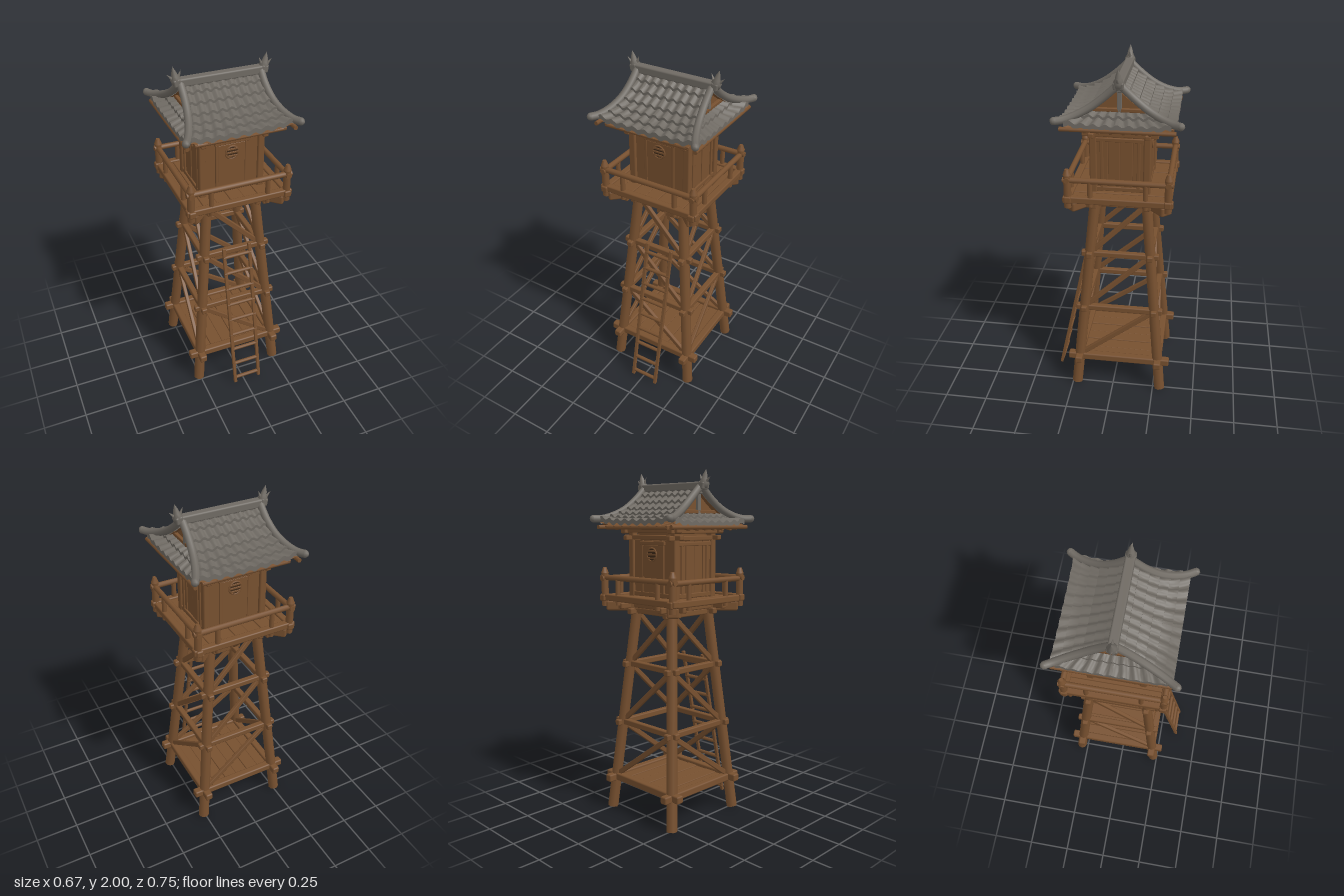
import * as THREE from 'three';
import { mergeGeometries, toCreasedNormals } from 'three/addons/utils/BufferGeometryUtils.js';
import { RoundedBoxGeometry } from 'three/addons/geometries/RoundedBoxGeometry.js';
import { ParametricGeometry } from 'three/addons/geometries/ParametricGeometry.js';

const V = (x, y, z) => new THREE.Vector3(x, y, z);
const material = (name, color) => Object.assign(new THREE.MeshStandardMaterial({ color }), { name });

export function createModel() {
  const wood = material('wood', 0x77502f);
  const darkWood = material('dark wood', 0x3d2918);
  const tile = material('roof tile', 0x6f6a63);
  tile.side = wood.side = THREE.DoubleSide;

  const root = new THREE.Group();
  root.name = 'watchtower';
  const tower = new THREE.Group();
  tower.name = 'tower';
  tower.position.z = -0.034;
  root.add(tower);

  const group = (name, parent = tower) => {
    const g = new THREE.Group();
    g.name = name;
    parent.add(g);
    return g;
  };
  const add = (parent, name, geometry, mat = wood) => {
    const m = new THREE.Mesh(geometry, mat);
    m.name = name;
    parent.add(m);
    return m;
  };
  const box = (parent, name, w, h, d, x, y, z, mat = wood) => {
    const m = add(parent, name, new RoundedBoxGeometry(w, h, d, 1, Math.min(w, h, d) * 0.2), mat);
    m.position.set(x, y, z);
    return m;
  };
  // round log or squared beam from a to b
  const log = (parent, name, a, b, r0, r1 = r0) => {
    const m = add(parent, name, new THREE.CylinderGeometry(r1, r0, a.distanceTo(b), 9));
    m.position.copy(a).lerp(b, 0.5);
    m.quaternion.setFromUnitVectors(V(0, 1, 0), b.clone().sub(a).normalize());
  };
  const beam = (parent, name, a, b, w, h) => {
    const m = box(parent, name, w, h, a.distanceTo(b), 0, 0, 0);
    m.position.copy(a).lerp(b, 0.5);
    m.quaternion.setFromRotationMatrix(new THREE.Matrix4().lookAt(b, a, V(0, 1, 0)));
  };
  // four beams that cross at the corners of a rectangle
  const crossFrame = (parent, name, x, z, y, over, w, h) => {
    for (const s of [-1, 1]) {
      beam(parent, name, V(-x - over, y, s * z), V(x + over, y, s * z), w, h);
      beam(parent, name, V(s * x, y - 0.004, -z - over), V(s * x, y - 0.004, z + over), w, h);
    }
  };

  // Splayed legs, ties and braces
  const frame = group('frame');
  const legAt = y => 0.258 - 0.092 * y;
  for (const sx of [-1, 1]) for (const sz of [-1, 1]) {
    const [a, b] = [legAt(0), legAt(1.27)];
    log(frame, 'leg', V(sx * a, 0.005, sz * a), V(sx * b, 1.27, sz * b), 0.032, 0.03);
  }
  const levels = [0.2, 0.545, 0.9, 1.215];
  levels.forEach((y, i) => {
    const size = i === 0 ? 0.045 : 0.035;
    crossFrame(frame, 'tie beam', legAt(y), legAt(y), y, [0.07, 0.05, 0.05, 0.06][i], size, size);
  });
  for (let i = 0; i < 3; i++) {
    const y0 = levels[i] + 0.02, y1 = levels[i + 1] - 0.02;
    const a = legAt(y0), b = legAt(y1);
    for (const s of [-1, 1]) {
      beam(frame, 'brace', V(a - 0.02, y0, s * a), V(-b + 0.02, y1, s * b), 0.022, 0.03);
      beam(frame, 'brace', V(s * a, y0, a - 0.02), V(s * b, y1, -b + 0.02), 0.022, 0.03);
    }
  }
  for (let i = 0; i < 6; i++)
    box(frame, 'lower floor plank', 0.077, 0.018, 0.47, -0.195 + i * 0.078, 0.192 + (i % 2) * 0.003, 0);

  // Platform
  const platform = group('platform');
  for (let i = 0; i < 7; i++)
    box(platform, 'floor plank', 0.08, 0.022, 0.56, -0.24 + i * 0.08, 1.284 + (i % 2) * 0.003, 0);
  crossFrame(platform, 'rim beam', 0.278, 0.27, 1.291, 0.03, 0.04, 0.038);
  crossFrame(platform, 'joist', 0.165, 0.16, 1.25, 0.1, 0.035, 0.035);
  for (const sx of [-1, 1]) for (const sz of [-1, 1])
    beam(platform, 'corner bracket', V(sx * 0.12, 1.243, sz * 0.12), V(sx * 0.275, 1.243, sz * 0.265), 0.065, 0.058);

  // Railing
  const railing = group('railing');
  for (const s of [-1, 1]) {
    log(railing, 'rail', V(-0.305, 1.405, s * 0.272), V(0.305, 1.405, s * 0.272), 0.016);
    log(railing, 'rail', V(s * 0.28, 1.4, -0.297), V(s * 0.28, 1.4, 0.297), 0.016);
    for (const t of [-1, 1]) {
      log(railing, 'corner post', V(s * 0.28, 1.24, t * 0.272), V(s * 0.28, 1.435, t * 0.272), 0.021);
      log(railing, 'post cap', V(s * 0.28, 1.43, t * 0.272), V(s * 0.28, 1.462, t * 0.272), 0.023, 0.011);
      log(railing, 'rail post', V(s * 0.165, 1.25, t * 0.272), V(s * 0.165, 1.4, t * 0.272), 0.014);
      log(railing, 'rail post', V(s * 0.28, 1.25, t * 0.15), V(s * 0.28, 1.4, t * 0.15), 0.014);
    }
  }

  // Cabin with plank walls, doors and round slatted windows
  const cabin = group('cabin');
  box(cabin, 'wall core', 0.335, 0.44, 0.285, 0, 1.51, 0);
  for (const s of [-1, 1]) {
    for (let i = 0; i < 4; i++) {
      const k = i - 1.5;
      box(cabin, 'wall plank', 0.076, 0.32, 0.012, k * 0.08, 1.46, s * (0.144 + (i % 2) * 0.003));
      box(cabin, 'wall plank', 0.012, 0.32, 0.064, s * (0.169 + (i % 2) * 0.003), 1.46, k * 0.067);
    }
    for (const t of [-1, 1]) {
      box(cabin, 'corner post', 0.04, 0.42, 0.04, s * 0.17, 1.5, t * 0.146);
      box(cabin, 'door jamb', 0.018, 0.29, 0.02, t * 0.085, 1.45, s * 0.15);
      box(cabin, 'side stud', 0.02, 0.3, 0.018, s * 0.175, 1.45, t * 0.1);
    }
    box(cabin, 'door panel', 0.155, 0.28, 0.012, 0, 1.45, s * 0.151);
    box(cabin, 'lintel', 0.2, 0.022, 0.022, 0, 1.603, s * 0.151);
    box(cabin, 'sill', 0.34, 0.025, 0.02, 0, 1.315, s * 0.15);
    box(cabin, 'side sill', 0.02, 0.025, 0.29, s * 0.175, 1.315, 0);
    box(cabin, 'side lintel', 0.02, 0.022, 0.29, s * 0.175, 1.6, 0);
    const pane = add(cabin, 'window opening', new THREE.CylinderGeometry(0.038, 0.038, 0.004, 20), darkWood);
    pane.rotation.x = Math.PI / 2;
    pane.position.set(0, 1.54, s * 0.158);
    add(cabin, 'window ring', new THREE.TorusGeometry(0.037, 0.005, 6, 20)).position.set(0, 1.54, s * 0.159);
    for (const k of [-1, 0, 1])
      box(cabin, 'window slat', k ? 0.06 : 0.072, 0.01, 0.007, 0, 1.54 + k * 0.02, s * 0.161);
  }
  crossFrame(cabin, 'wall plate', 0.175, 0.15, 1.635, 0.055, 0.03, 0.026);
  crossFrame(cabin, 'eave beam', 0.19, 0.168, 1.676, 0.04, 0.04, 0.032);

  // Roof: curved main slopes with side skirts
  const roof = group('roof');
  const drop = [1.9, 1.838, 1.782, 1.742, 1.718];   // height at equal steps out from the ridge
  const profile = t => {
    const i = Math.min(3, Math.floor(t * 4)), f = t * 4 - i;
    return drop[i] + (drop[i + 1] - drop[i]) * f;
  };
  const halfWidth = t => 0.22 + 0.075 * t ** 2.5;
  const slope = s => (u, t) => V(u * halfWidth(t), profile(t) + 0.022 * u ** 4 * t * t, s * 0.3 * t);
  const skirt = s => (u, t) => V(s * (0.19 + 0.115 * t), 1.768 - 0.06 * t + 0.02 * u ** 4 * t, u * (0.19 + 0.085 * t));
  // overlapping rows of wavy tiles; the last strip of each row folds down as its lip
  const tiles = (surface, rows, waves) => {
    const parts = [];
    for (let r = 0; r < rows; r++)
      parts.push(new ParametricGeometry((a, b, out) => {
        const k = Math.min(1, b * 1.5), u = a * 2 - 1;
        out.copy(surface(u, (r + k) / rows));
        out.y += 0.007 * Math.cos(u * Math.PI * waves) + (b > 0.9 ? -0.012 : 0.014 * k);
      }, waves * 8, 3));
    return toCreasedNormals(mergeGeometries(parts), 0.9);
  };
  const lining = surface => new ParametricGeometry((a, b, out) => {
    out.copy(surface(a * 2 - 1, b * 0.98));
    out.y -= 0.022;
  }, 8, 8);
  for (const s of [-1, 1]) {
    add(roof, 'main tiles', tiles(slope(s), 6, 9), tile);
    add(roof, 'main lining', lining(slope(s)));
    add(roof, 'skirt tiles', tiles(skirt(s), 2, 9), tile);
    add(roof, 'skirt lining', lining(skirt(s)));
    log(roof, 'side eave pole', V(s * 0.298, 1.692, -0.3), V(s * 0.298, 1.692, 0.3), 0.012);
    log(roof, 'front eave pole', V(-0.25, 1.69, s * 0.275), V(0.25, 1.69, s * 0.275), 0.012);
    for (let i = 0; i < 8; i++) {
      const x = -0.245 + i * 0.07;
      beam(roof, 'rafter', V(x, 1.715, s * 0.15), V(x, 1.69, s * 0.285), 0.018, 0.02);
      if (i > 0 && i < 7) beam(roof, 'side rafter', V(s * 0.17, 1.712, x * 0.95), V(s * 0.3, 1.682, x * 0.95), 0.018, 0.02);
    }

    // Gable wall, its post and the sweeping edge ribs
    const gable = new THREE.Shape([[-0.22, 1.74], [0.22, 1.74], [0.15, 1.772], [0.075, 1.83], [0, 1.895],
      [-0.075, 1.83], [-0.15, 1.772]].map(p => new THREE.Vector2(...p)));
    const wall = add(roof, 'gable wall', new THREE.ExtrudeGeometry(gable, { depth: 0.012, bevelEnabled: false }));
    wall.rotation.y = Math.PI / 2;
    wall.position.x = s * 0.19 - 0.006;
    box(roof, 'gable post', 0.02, 0.12, 0.025, s * 0.205, 1.82, 0, tile);
    box(roof, 'gable beam', 0.02, 0.02, 0.28, s * 0.205, 1.775, 0);
    for (const t of [-1, 1]) {
      const path = new THREE.CatmullRomCurve3([[0.225, 1.912, 0.005], [0.226, 1.848, 0.075], [0.238, 1.792, 0.15],
        [0.262, 1.755, 0.225], [0.29, 1.738, 0.285], [0.312, 1.738, 0.322]].map(([x, y, z]) => V(s * x, y, t * z)));
      add(roof, 'edge rib', new THREE.TubeGeometry(path, 20, 0.021, 8), tile);
      const tip = add(roof, 'rib tip', new THREE.SphereGeometry(0.021, 8, 6), tile);
      tip.position.set(s * 0.312, 1.738, t * 0.322);
    }

    // Ridge-end finial
    const finial = group('ridge finial', roof);
    finial.position.set(s * 0.243, 1.915, 0);
    finial.rotation.z = -s * 0.2;
    const bulb = [[0, -0.02], [0.024, -0.01], [0.028, 0.015], [0.017, 0.035], [0.013, 0.055], [0, 0.087]];
    add(finial, 'bulb', new THREE.LatheGeometry(bulb.map(p => new THREE.Vector2(...p)), 10), tile);
    for (const k of [-1, 1]) {
      const horn = add(finial, 'horn', new THREE.ConeGeometry(0.012, 0.05, 6), tile);
      horn.position.set(k * 0.025, 0.035, 0);
      horn.rotation.z = -k * 0.6;
    }
    box(finial, 'end cap', 0.04, 0.04, 0.055, 0, 0, 0, tile);
  }
  const ridge = box(roof, 'ridge', 0.49, 0.045, 0.05, 0, 1.912, 0, tile);
  ridge.geometry.computeBoundingBox();
  box(roof, 'ridge base', 0.45, 0.03, 0.035, 0, 1.885, 0, tile);

  // Leaning ladder
  const ladder = group('ladder', root);
  const railZ = y => 0.36 - 0.215 * y;
  for (const x of [-0.062, 0.098])
    beam(ladder, 'ladder rail', V(x, 0.008, railZ(0)), V(x, 0.932, railZ(0.932)), 0.02, 0.018);
  for (let i = 0; i < 9; i++) {
    const y = 0.042 + i * 0.104;
    log(ladder, 'rung', V(-0.07, y, railZ(y)), V(0.106, y, railZ(y)), 0.011);
  }
  return root;
}
